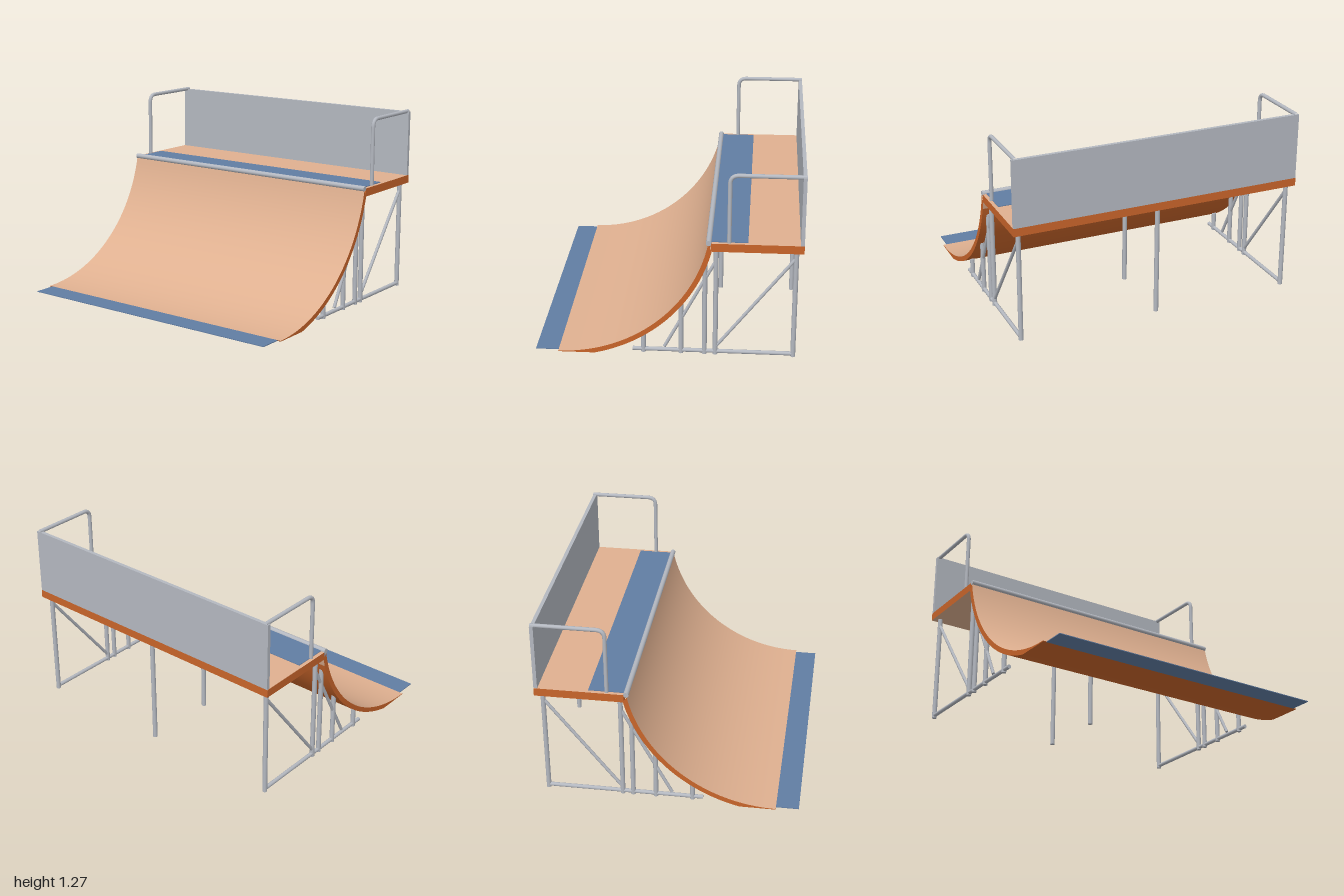
import * as THREE from 'three';

const mat = (name, color, side = THREE.FrontSide) =>
  Object.assign(new THREE.MeshStandardMaterial({ color, side }), { name });

export function createModel() {
  const model = new THREE.Group();
  model.name = 'quarterPipeRamp';

  const wood = mat('paleWood', 0xdfb090);
  const edge = mat('orangeWood', 0xc9652a, THREE.DoubleSide);
  const steel = mat('steel', 0xb4b8c0);
  const plate = mat('bluePlate', 0x617da3);

  const add = (name, geometry, material, parent = model) => {
    const mesh = new THREE.Mesh(geometry, material);
    mesh.name = name;
    parent.add(mesh);
    return mesh;
  };
  const box = (name, material, w, h, d, x, y, z, parent) =>
    add(name, new THREE.BoxGeometry(w, h, d), material, parent).position.set(x, y, z);

  // Round bar between two points
  const bar = (name, a, b, r, parent = model) => {
    const from = new THREE.Vector3(...a), to = new THREE.Vector3(...b);
    const dir = to.clone().sub(from);
    const mesh = add(name, new THREE.CylinderGeometry(r, r, dir.length(), 12), steel, parent);
    mesh.position.copy(from).add(to).multiplyScalar(0.5);
    mesh.quaternion.setFromUnitVectors(new THREE.Vector3(0, 1, 0), dir.normalize());
  };

  // Full-width sheet following a list of [z, y] points
  const sheet = (name, points, material) => {
    const g = new THREE.PlaneGeometry(2, 1, 1, points.length - 1);
    const pos = g.attributes.position;
    for (let i = 0; i < pos.count; i++) {
      const [z, y] = points[Math.floor(i / 2)];
      pos.setXYZ(i, pos.getX(i), y, z);
    }
    g.computeVertexNormals();
    add(name, g, material);
  };

  // Curved riding surface: arcs around one centre line
  const cz = 0.71, cy = 0.995, inner = 0.99, outer = 1.023;
  const arc = (r, a0, a1, n) => Array.from({ length: n + 1 }, (_, i) => {
    const a = a0 + (a1 - a0) * i / n;
    return [cz - r * Math.sin(a), cy - r * Math.cos(a)];
  });
  const ground = Math.acos(cy / outer);
  const top = arc(inner, 1.362, 0, 40);
  const under = arc(outer, ground, 1.275, 36);
  const underTop = arc(outer, 1.275, 1.335, 4);
  sheet('rampSurface', top, wood);
  sheet('rampUnderside', under, edge);
  sheet('rampUpperUnderside', underTop, wood);
  sheet('rampFoot', [[cz, 0.005], [cz, 0], under[0]], edge);

  // Ramp side edges
  const outline = [...top, [cz, 0], ...under, ...underTop.slice(1)]
    .map(([z, y]) => new THREE.Vector2(z, y));
  for (const s of [-1, 1]) {
    const g = new THREE.ShapeGeometry(new THREE.Shape(outline));
    g.rotateY(-Math.PI / 2);
    add('rampSideEdge', g, edge).position.x = s;
  }

  // Deck, coping and metal plates
  box('deck', [edge, edge, wood, wood, edge, edge], 2, 0.055, 0.582, 0, 0.7775, -0.569);
  bar('coping', [-1, 0.805, -0.264], [1, 0.805, -0.264], 0.018);
  box('deckPlate', plate, 1.95, 0.004, 0.235, 0, 0.807, -0.3925);
  box('entryPlate', plate, 1.95, 0.005, 0.15, 0, 0.0025, 0.785);

  // Rear guard panel
  box('guardPanel', steel, 1.996, 0.45, 0.024, 0, 1.03, -0.848);

  // Side handrails and support frames
  for (const s of [-1, 1]) {
    const x = s * 0.977;
    const path = new THREE.CurvePath();
    const v = (y, z) => new THREE.Vector3(x, y, z);
    path.add(new THREE.LineCurve3(v(0.8, -0.391), v(1.2, -0.391)));
    path.add(new THREE.QuadraticBezierCurve3(v(1.2, -0.391), v(1.256, -0.391), v(1.256, -0.447)));
    path.add(new THREE.LineCurve3(v(1.256, -0.447), v(1.256, -0.86)));
    add('handrail', new THREE.TubeGeometry(path, 90, 0.0135, 12), steel);

    const frame = new THREE.Group();
    frame.name = 'sideFrame';
    model.add(frame);
    const fx = s * 0.955;
    for (const [z, h] of [[-0.813, 0.752], [-0.31, 0.752], [-0.24, 0.645], [-0.088, 0.37], [0.156, 0.135]])
      bar('frameLeg', [fx, 0, z], [fx, h, z], 0.016, frame);
    bar('baseRail', [fx, 0.019, 0.226], [fx, 0.019, -0.82], 0.0135, frame);
    bar('frontBrace', [fx, 0.04, 0.02], [fx, 0.665, -0.308], 0.011, frame);
    bar('rearBrace', [fx, 0.055, -0.315], [fx, 0.7, -0.812], 0.011, frame);
  }

  // Middle deck posts
  for (const z of [-0.813, -0.31]) bar('middlePost', [0, 0, z], [0, 0.752, z], 0.016);

  return model;
}
